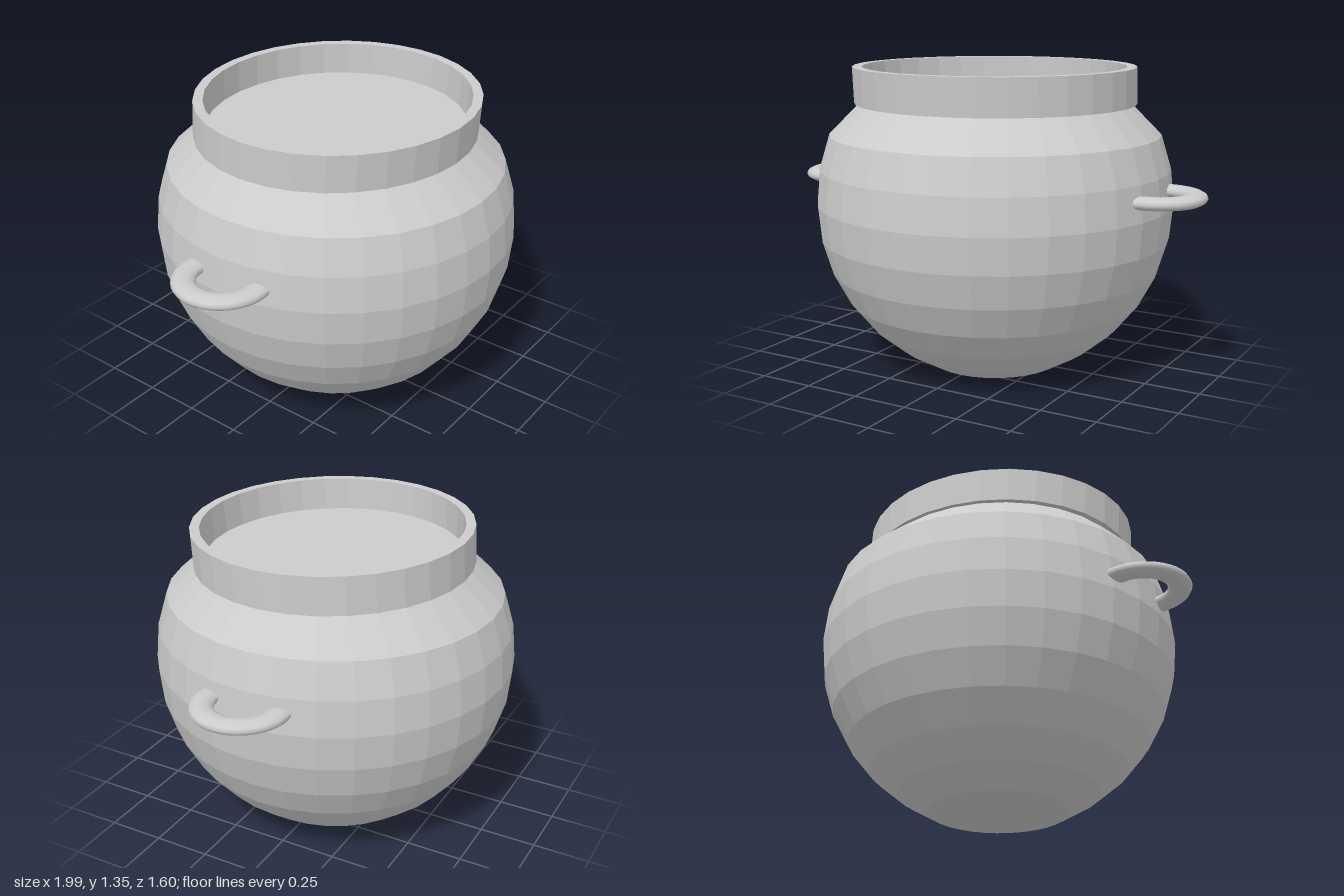
import * as THREE from 'three';

const SIDES = 32;
const material = new THREE.MeshStandardMaterial({ color: 0xcccccc, flatShading: true, side: THREE.DoubleSide });
const smooth = new THREE.MeshStandardMaterial({ color: 0xcccccc });

function lathe(name, profile) {
  const points = profile.map(([r, y]) => new THREE.Vector2(r, y));
  const mesh = new THREE.Mesh(new THREE.LatheGeometry(points, SIDES), material);
  mesh.name = name;
  return mesh;
}

// Move every vertex of a mesh by a rule
function deform(mesh, rule) {
  const pos = mesh.geometry.attributes.position;
  const v = new THREE.Vector3();
  for (let i = 0; i < pos.count; i++) {
    rule(v.fromBufferAttribute(pos, i));
    pos.setXYZ(i, v.x, v.y, v.z);
  }
  mesh.geometry.computeVertexNormals();
}

function handle(name, x, y, z) {
  const mesh = new THREE.Mesh(new THREE.TorusGeometry(0.162, 0.051, 12, 40).rotateX(Math.PI / 2), smooth);
  mesh.scale.y = 0.55;
  mesh.position.set(x, y, z);
  mesh.name = name;
  return mesh;
}

export function createModel() {
  const group = new THREE.Group();
  group.name = 'pot';

  // Round belly with a flat base and a shoulder sloping in to the neck
  const profile = [[0, 0], [0.306, 0]];
  for (let i = -5; i <= 2; i++) {
    const a = i * Math.PI / 16;
    profile.push([0.8 * Math.cos(a), 0.745 + 0.8 * Math.sin(a)]);
  }
  profile.push([0.605, 1.192]);
  const body = lathe('body', profile);
  deform(body, v => { if (v.y > 1.1) v.z *= 0.965; });
  group.add(body);

  // Upright collar, slightly oval and leaning forward
  const lean = v => {
    v.z = v.z * 0.953 + 0.0025 + (v.y - 1.19) * 0.065;
    v.y -= v.z * 0.005;
  };
  const rim = lathe('rim', [[0.585, 1.188], [0.635, 1.188], [0.635, 1.35], [0.592, 1.35], [0.585, 1.188]]);
  deform(rim, lean);
  group.add(rim);

  // Flat surface closing the pot inside the collar
  const lid = lathe('innerSurface', [[0.59, 1.207], [0, 1.207]]);
  deform(lid, lean);
  group.add(lid);

  // Ring handles set into the belly at slightly different heights
  group.add(handle('leftHandle', 0.78, 0.83, 0));
  group.add(handle('rightHandle', -0.787, 0.81, 0.03));
  return group;
}
